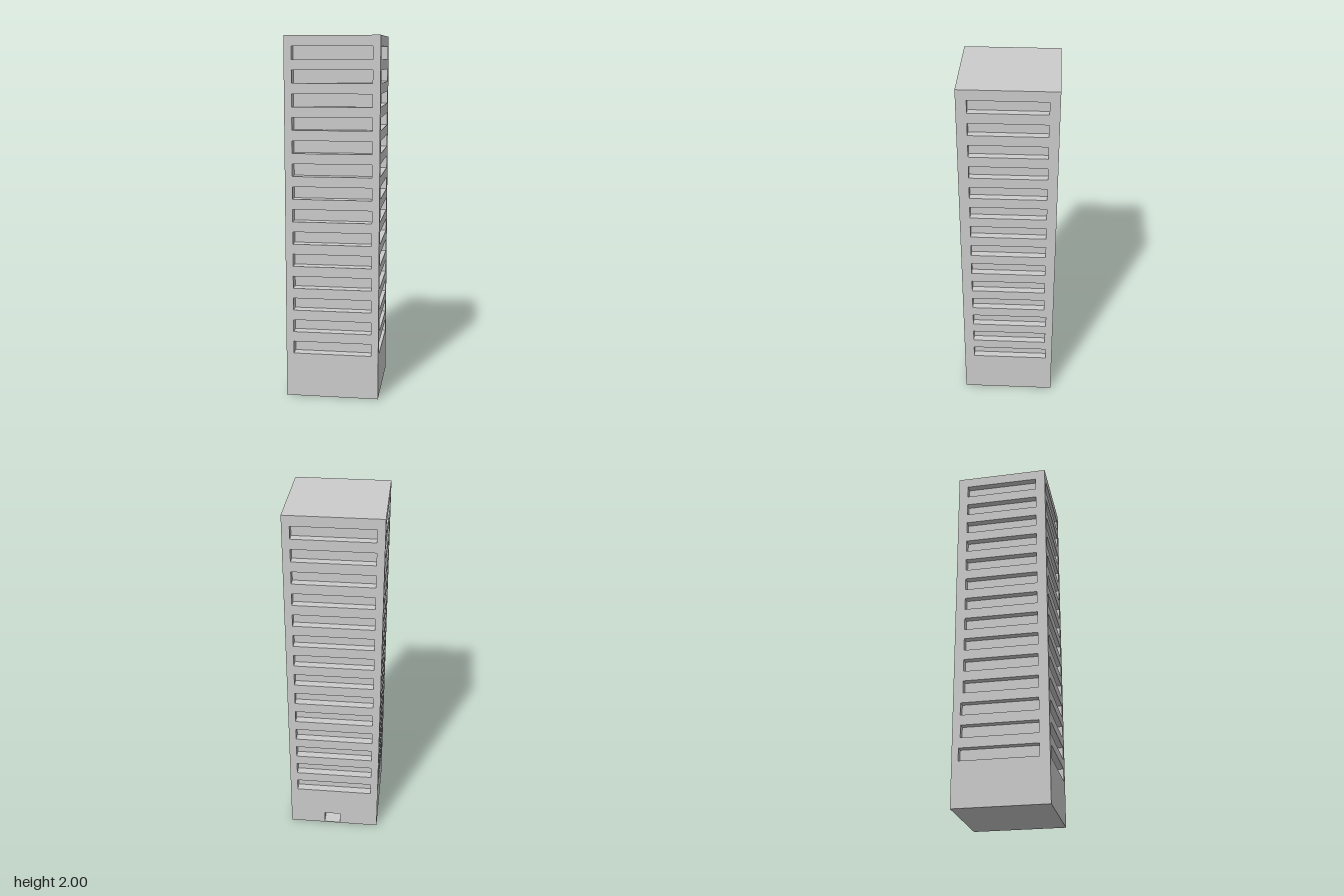
import * as THREE from 'three';
import { mergeGeometries } from 'three/addons/utils/BufferGeometryUtils.js';

const HALF = 0.258, HEIGHT = 2;
const FLOORS = 14, FIRST_SILL = 0.249, FLOOR_PITCH = 0.125, WINDOW_HEIGHT = 0.069;

const material = new THREE.MeshStandardMaterial({ color: 0xcccccc, flatShading: true });

function rectPoints(x0, y0, x1, y1) {
  return [[x0, y0], [x1, y0], [x1, y1], [x0, y1]].map(([x, y]) => new THREE.Vector2(x, y));
}

// Inward-facing box, open towards +z, sunk behind the wall plane z = 0
function pocket({ x0, y0, x1, y1, depth }) {
  const box = new THREE.BoxGeometry(x1 - x0, y1 - y0, depth);
  const index = Array.from(box.index.array);
  index.splice(24, 6); // drop the outer face
  box.setIndex(index.reverse()); // turn the others inward
  box.translate((x0 + x1) / 2, (y0 + y1) / 2, -depth / 2);
  const geometry = box.toNonIndexed();
  geometry.computeVertexNormals();
  return geometry;
}

// Wall with rectangular openings, each lined by a pocket
function makeFacade(name, openings, angle) {
  const facade = new THREE.Group();
  facade.name = name;
  const shape = new THREE.Shape(rectPoints(-HALF, 0, HALF, HEIGHT));
  for (const o of openings) shape.holes.push(new THREE.Path(rectPoints(o.x0, o.y0, o.x1, o.y1)));
  const wall = new THREE.Mesh(new THREE.ShapeGeometry(shape), material);
  wall.name = name + 'Wall';
  const recesses = new THREE.Mesh(mergeGeometries(openings.map(pocket)), material);
  recesses.name = name + 'Recesses';
  facade.add(wall, recesses);
  facade.rotation.y = angle;
  facade.position.set(Math.sin(angle) * HALF, 0, Math.cos(angle) * HALF);
  return facade;
}

// One window band per floor; span(floor) gives its left and right ends
function windowBands(span, depth) {
  return Array.from({ length: FLOORS }, (_, floor) => {
    const [x0, x1] = span(floor);
    const y0 = FIRST_SILL + floor * FLOOR_PITCH;
    return { x0, x1, y0, y1: y0 + WINDOW_HEIGHT, depth };
  });
}

export function createModel() {
  const tower = new THREE.Group();
  tower.name = 'tower';

  // Side bands reach further back on the three lowest floors
  const backEnd = (floor) => [0.222, 0.214, 0.217][floor] ?? 0.205;
  const wide = () => [-0.217, 0.217];
  const door = { x0: -0.057, x1: 0.037, y0: 0.004, y1: 0.073, depth: 0.2 };

  tower.add(
    makeFacade('frontFacade', windowBands(wide, 0.06), 0),
    makeFacade('backFacade', [...windowBands(wide, 0.045), door], Math.PI),
    makeFacade('leftFacade', windowBands((f) => [-0.203, backEnd(f)], 0.039), Math.PI / 2),
    makeFacade('rightFacade', windowBands((f) => [-backEnd(f), 0.203], 0.039), -Math.PI / 2),
  );

  // Flat roof and underside
  for (const [name, y, tilt] of [['roof', HEIGHT, -Math.PI / 2], ['base', 0, Math.PI / 2]]) {
    const slab = new THREE.Mesh(new THREE.PlaneGeometry(HALF * 2, HALF * 2), material);
    slab.name = name;
    slab.rotation.x = tilt;
    slab.position.y = y;
    tower.add(slab);
  }
  return tower;
}
